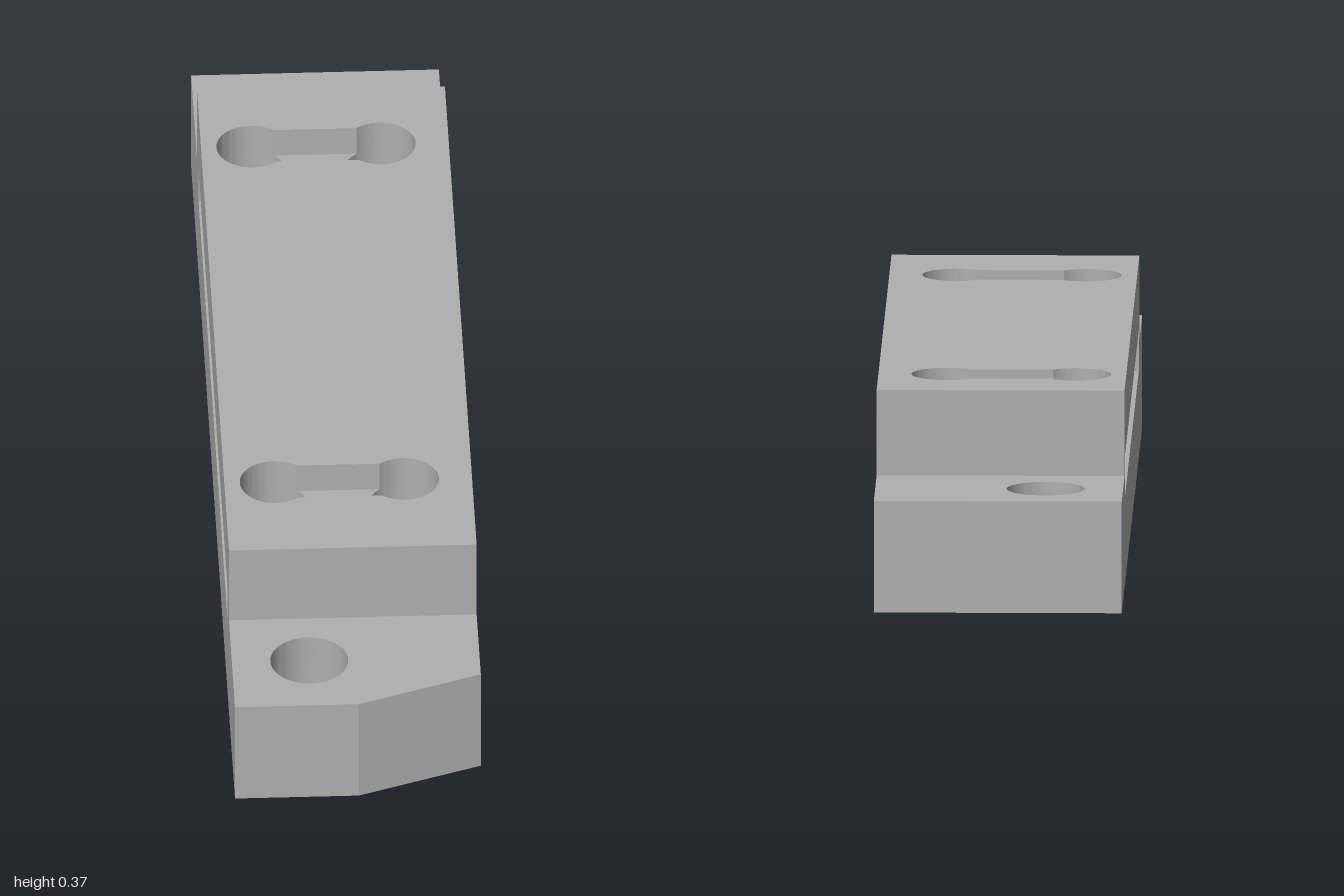
import * as THREE from 'three';
import { toCreasedNormals } from 'three/addons/utils/BufferGeometryUtils.js';

const W = 0.232, STEP = 0.725;                        // half width, half length of raised block
const Y = { floor: 0.165, ledge: 0.212, ceiling: 0.243, slot: 0.315, top: 0.374 };
const POCKET = { x: 0.175, z: 0.665 };                // side pocket, open towards -x
const XL = -0.137, XR = 0.104, R = 0.066;             // paired holes
const PAIR_Z = [-0.55, 0.512], NECK = Math.asin(0.05 / R);
const BOLTS = [[-0.087, -0.863, 0.073], [-0.087, 0.858, 0.073]];
const PAIRS = PAIR_Z.flatMap(z => [[XL, z, R], [XR, z, R]]);

// Plan shapes take (x, z) and are laid flat afterwards
const plan = (pts, holes = []) => {
  const s = new THREE.Shape(pts.map(([x, z]) => new THREE.Vector2(x, -z)));
  s.holes = holes;
  return s;
};
const circle = ([x, z, r]) => new THREE.Path().absarc(x, -z, r, 0, Math.PI * 2);

// Two round holes joined by a narrow neck
const keySlot = z => {
  const p = new THREE.Path();
  p.absarc(XL, -z, R, NECK, 2 * Math.PI - NECK);
  p.absarc(XR, -z, R, NECK - Math.PI, Math.PI - NECK);
  p.closePath();
  return p;
};

// Floor of the neck between the two holes
const neckFloor = z => {
  const s = new THREE.Shape();
  s.absarc(XL, -z, R, -NECK, NECK);
  s.absarc(XR, -z, R, Math.PI - NECK, Math.PI + NECK);
  s.closePath();
  return s;
};

// Vertical walls of a plan shape, without caps
function walls(shape, y0, y1) {
  const g = new THREE.ExtrudeGeometry(shape, { depth: y1 - y0, bevelEnabled: false, curveSegments: 24 });
  const side = g.groups.find(k => k.materialIndex === 1);
  const out = new THREE.BufferGeometry();
  const pos = g.attributes.position.array.slice(side.start * 3, (side.start + side.count) * 3);
  out.setAttribute('position', new THREE.BufferAttribute(pos, 3));
  out.rotateX(-Math.PI / 2).translate(0, y0, 0);
  return toCreasedNormals(out, 0.3);
}

// Horizontal face, looking up or down
function face(shape, y, down = false) {
  const g = new THREE.ShapeGeometry(shape, 24);
  if (down) {
    g.index.array.reverse();
    g.attributes.normal.array.forEach((v, i, a) => { a[i] = -v; });
  }
  return g.rotateX(-Math.PI / 2).translate(0, y, 0);
}

export function createModel() {
  const model = new THREE.Group();
  const grey = new THREE.MeshStandardMaterial({ color: 0xb0b0b0 });
  grey.name = 'grey';
  const part = (name, geometry) => {
    const mesh = new THREE.Mesh(geometry, grey);
    mesh.name = name;
    model.add(mesh);
  };

  // Outlines in plan
  const front = [[-W, 1], [0, 1], [W, 0.915]];
  const base = [...front, [W, -1], [-W, -1]];
  const block = [[-W, STEP], [W, STEP], [W, -STEP], [-W, -STEP]];
  const notch = [[-W, -POCKET.z], [POCKET.x, -POCKET.z], [POCKET.x, POCKET.z], [-W, POCKET.z]];
  const pocket = notch;
  const bolts = () => BOLTS.map(circle);
  const pairs = () => PAIRS.map(circle);
  const slots = () => PAIR_Z.map(keySlot);

  // Walls, layer by layer
  part('baseWalls', walls(plan(base, [...bolts(), ...pairs()]), 0, Y.floor));
  part('lowerPocketWalls', walls(plan([...base, ...notch], bolts()), Y.floor, Y.ledge));
  part('upperPocketWalls', walls(plan([...block, ...notch]), Y.ledge, Y.ceiling));
  part('blockWalls', walls(plan(block, pairs()), Y.ceiling, Y.slot));
  part('blockRimWalls', walls(plan(block, slots()), Y.slot, Y.top));

  // Horizontal faces
  part('underside', face(plan(base, [...bolts(), ...pairs()]), 0, true));
  part('pocketFloor', face(plan(pocket, pairs()), Y.floor));
  part('pocketCeiling', face(plan(pocket, pairs()), Y.ceiling, true));
  part('backLedge', face(plan([[-W, -STEP], [W, -STEP], [W, -1], [-W, -1]], [circle(BOLTS[0])]), Y.ledge));
  part('frontLedge', face(plan([...front, [W, STEP], [-W, STEP]], [circle(BOLTS[1])]), Y.ledge));
  part('blockTop', face(plan(block, slots()), Y.top));
  PAIR_Z.forEach(z => part('slotFloor', face(neckFloor(z), Y.slot)));

  return model;
}
